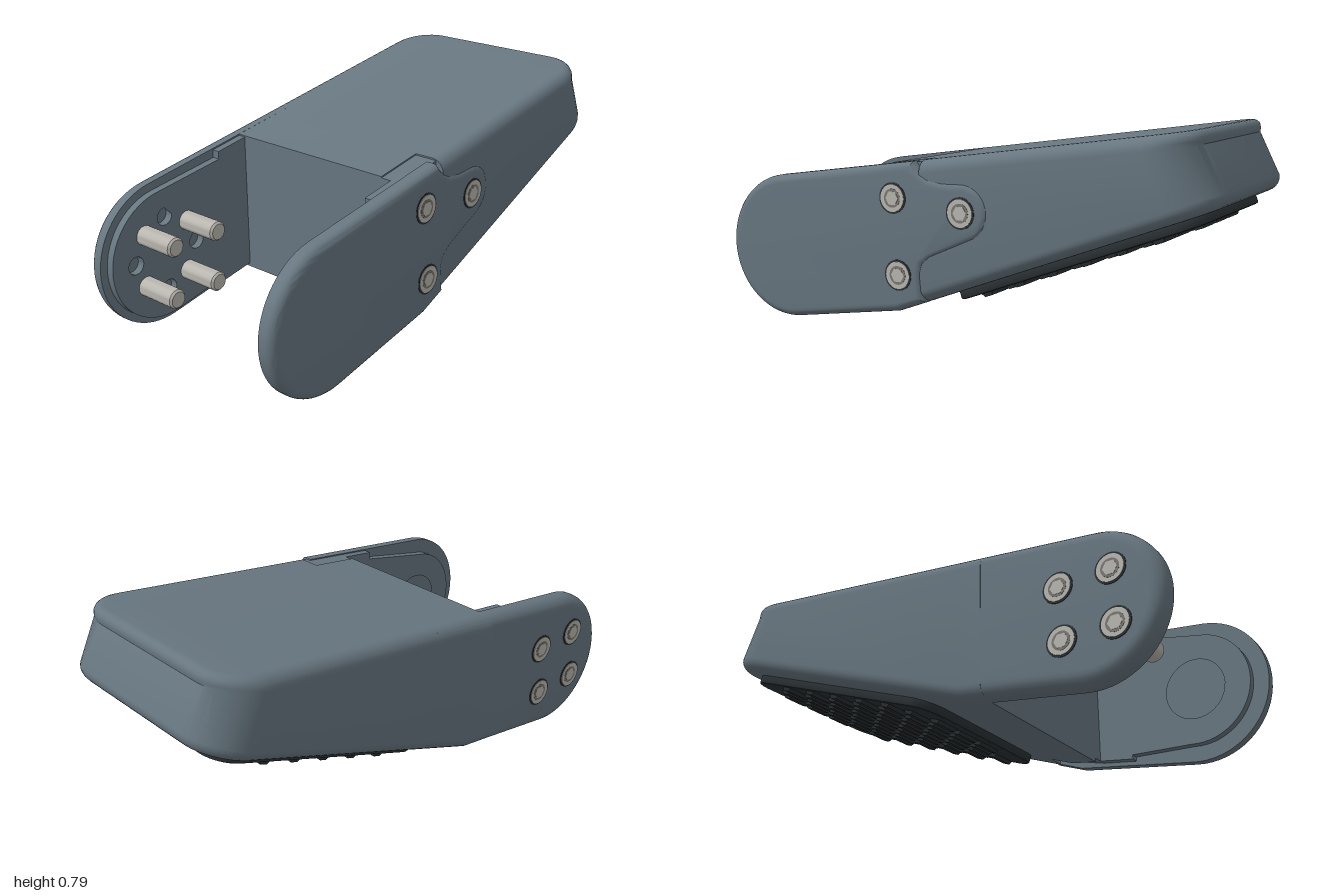
import * as THREE from 'three';
import { toCreasedNormals } from 'three/addons/utils/BufferGeometryUtils.js';

const mat = (name, color) => Object.assign(new THREE.MeshStandardMaterial({ color }), { name });
const topY = z => 0.62 + (0.3 - z) * 0.14;
const bottomY = z => (z < 0.2 ? 0.08 + (0.2 - z) * 0.383 : 0.08 - (z - 0.2) * 0.154);

// points on an arc in the side plane, as [z, y], angles in degrees
function arc(cz, cy, r, from, to, n) {
  return Array.from({ length: n + 1 }, (_, i) => {
    const a = THREE.MathUtils.degToRad(from + (to - from) * i / n);
    return [cz + r * Math.cos(a), cy + r * Math.sin(a)];
  });
}

// side outline [z, y] extruded outward from x = side * inner, rounded on the outer edge only
function sidePlate(points, side, inner, outer, bevel = 0, holes = []) {
  const flat = pts => pts.map(([z, y]) => new THREE.Vector2(-side * z, y));
  const shape = new THREE.Shape(flat(points));
  holes.forEach(h => shape.holes.push(new THREE.Path(flat(h))));
  const geo = new THREE.ExtrudeGeometry(shape, {
    depth: outer - inner - bevel, bevelEnabled: bevel > 0, bevelThickness: bevel,
    bevelSize: bevel, bevelOffset: -bevel, bevelSegments: 6
  });
  const p = geo.attributes.position;
  for (let i = 0; i < p.count; i++) p.setZ(i, Math.max(p.getZ(i), 0));
  geo.translate(0, 0, inner);
  geo.rotateY(side * Math.PI / 2);
  return toCreasedNormals(geo, 0.6);
}

// wedge body: rounded plan outline lofted between the sloping bottom and top
function bodyGeometry() {
  const rings = [], b = 0.05, steps = 6;
  const left = 0.45, right = 0.442, r = 0.17;
  const ring = (inset, dy, top) => {
    const back = top ? -0.935 + dy * 0.3 : -1.012 + dy * 0.3;
    const zc = back + r, l = left - inset, rt = right - inset, plan = [];
    plan.push([-l, 0.3], [-l, 0.2], [-l, 0.11], [-l, 0.1]);
    const n = 8;
    for (const s of [-1, 1]) for (let i = 0; i <= n; i++) {
      const a = (s < 0 ? i : n - i) / n * Math.PI / 2;
      const cx = s < 0 ? -left + r : right - r;
      plan.push([cx + s * (r - inset) * Math.cos(a), zc - (r - inset) * Math.sin(a)]);
    }
    plan.push([rt, 0.1], [0.32, 0.1], [0.32, 0.2], [0.32, 0.3]);
    rings.push(plan.map(([x, z]) => [x, top ? topY(z) - dy : bottomY(z) + dy, z]));
  };
  for (let k = 0; k <= steps; k++) {
    const a = k / steps * Math.PI / 2;
    ring(b * (1 - Math.sin(a)), b * (1 - Math.cos(a)), false);
  }
  for (let k = steps; k >= 0; k--) {
    const a = k / steps * Math.PI / 2;
    ring(b * (1 - Math.sin(a)), b * (1 - Math.cos(a)), true);
  }
  const n = rings[0].length, index = [], last = (rings.length - 1) * n;
  for (let j = 0; j < rings.length - 1; j++) for (let i = 0; i < n; i++) {
    const a = j * n + i, q = j * n + (i + 1) % n;
    index.push(a, q + n, q, a, a + n, q + n);
  }
  for (let i = 0; i < n / 2 - 1; i++) {
    const s = n - 1 - i, t = n - 2 - i;
    index.push(last + i, last + s, last + t, last + i, last + t, last + i + 1);
    index.push(i, t, s, i, i + 1, t);
  }
  const geo = new THREE.BufferGeometry();
  geo.setAttribute('position', new THREE.Float32BufferAttribute(rings.flat(2), 3));
  geo.setIndex(index);
  return toCreasedNormals(geo, 0.6);
}

export function createModel() {
  const model = new THREE.Group();
  const shell = mat('slate shell', 0x687781);
  const rubber = mat('dark rubber', 0x2c3235);
  const steel = mat('pale steel', 0xbab7b0);
  const socket = mat('socket grey', 0x7b7974);
  const add = (name, geo, material, parent = model) => {
    const m = new THREE.Mesh(geo, material);
    m.name = name;
    parent.add(m);
    return m;
  };

  add('body', bodyGeometry(), shell);

  // arms: one grows out of the body, the other is a bolted plate with a rear lobe
  const nose = arc(0.72, 0.28, 0.28, -98.7, 82, 32);
  add('fixedArm', sidePlate([...nose, [0, topY(0)], [0, bottomY(0)], [0.2, 0.08]], -1, 0.38, 0.449, 0.05), shell);
  add('boltedArm', sidePlate([
    ...nose, [0.13, 0.643], [0.105, 0.612], [0.06, 0.588], [0, 0.58],
    ...arc(-0.08, 0.47, 0.112, 90, 240, 16),
    [0.05, 0.29], [0.08, 0.265], [0.09, 0.23], [0.08, bottomY(0.08)], [0.2, 0.08]
  ], 1, 0.39, 0.45, 0.032), shell);

  // thick roots and raised pads on the inner faces of the arms
  const root = (z0, z1) => [[z0, bottomY(z0) + 0.015], [z1, bottomY(z1) + 0.015], [z1, topY(z1) - 0.005], [z0, topY(z0) - 0.005]];
  add('fixedArmRoot', sidePlate(root(0.25, 0.44), -1, 0.35, 0.4), shell);
  add('boltedArmRoot', sidePlate(root(0.3, 0.44), 1, 0.36, 0.41), shell);
  add('boltedArmBlock', sidePlate(root(0.102, 0.3), 1, 0.32, 0.41), shell);
  const pad = r => [[0.44, 0.075], ...arc(0.72, 0.28, r, -98.7, 82, 28), [0.44, 0.565]];
  const holes = [0, 90, 180, 270].map(a => {
    const [[z, y]] = arc(0.72, 0.28, 0.145, a, a, 1);
    return arc(z, y, 0.034, 0, 345, 23);
  });
  add('fixedArmPad', sidePlate(pad(0.25), -1, 0.35, 0.385, 0, holes), shell);
  add('boltedArmPad', sidePlate(pad(0.22), 1, 0.36, 0.395, 0, [arc(0.72, 0.28, 0.12, 0, 348, 29)]), shell);

  // screw heads with hexagonal sockets
  const disc = (name, r, x0, x1, sides, side, z, y, material) => {
    const m = add(name, new THREE.CylinderGeometry(r, r, x1 - x0, sides).rotateZ(Math.PI / 2), material);
    m.position.set(side * (x0 + x1) / 2, y, z);
  };
  const screw = (side, z, y) => {
    disc('screwRecess', 0.058, 0.44, 0.4515, 32, side, z, y, rubber);
    disc('screwHead', 0.051, 0.44, 0.4535, 32, side, z, y, steel);
    disc('screwRing', 0.035, 0.44, 0.4542, 32, side, z, y, socket);
    disc('screwSocket', 0.028, 0.44, 0.455, 6, side, z, y, steel);
  };
  for (const [z, y] of [[0.21, 0.505], [0.19, 0.22], [-0.08, 0.47]]) screw(1, z, y);

  // four long bolts through the fixed arm
  const pinProfile = [[0, 0], [0.037, 0], [0.037, 0.162], [0.03, 0.17], [0, 0.17]].map(p => new THREE.Vector2(...p));
  const pinGeo = toCreasedNormals(new THREE.LatheGeometry(pinProfile, 24).rotateZ(-Math.PI / 2), 0.6);
  for (const dz of [-1, 1]) for (const dy of [-1, 1]) {
    const z = 0.72 + dz * 0.1 - dy * 0.004, y = 0.28 + dy * 0.1 + dz * 0.004;
    screw(-1, z, y);
    add('bolt', pinGeo, steel).position.set(-0.35, y, z);
  }

  // rubber sole lying along the sloping underside
  const sole = new THREE.Group();
  sole.name = 'sole';
  sole.position.set(0, bottomY(-0.45), -0.45);
  sole.rotation.x = Math.atan(0.383);
  model.add(sole);
  const w = 0.37, l = 0.5, r = 0.1, s = new THREE.Shape();
  s.moveTo(-w + r, -l);
  s.lineTo(w - r, -l).absarc(w - r, -l + r, r, -Math.PI / 2, 0);
  s.lineTo(w, l - r).absarc(w - r, l - r, r, 0, Math.PI / 2);
  s.lineTo(-w + r, l).absarc(-w + r, l - r, r, Math.PI / 2, Math.PI);
  s.lineTo(-w, -l + r).absarc(-w + r, -l + r, r, Math.PI, Math.PI * 1.5);
  const slab = new THREE.ExtrudeGeometry(s, {
    depth: 0.025, bevelThickness: 0.008, bevelSize: 0.01, bevelOffset: -0.01, bevelSegments: 2, curveSegments: 10
  });
  add('solePad', toCreasedNormals(slab.rotateX(Math.PI / 2), 0.6), rubber, sole);

  // staggered tread bars, each tapered toward the ground
  const bar = new THREE.BoxGeometry(0.115, 0.018, 0.05);
  const bp = bar.attributes.position;
  for (let i = 0; i < bp.count; i++) if (bp.getY(i) < 0) bp.setXYZ(i, bp.getX(i) * 0.92, bp.getY(i), bp.getZ(i) * 0.6);
  bar.computeVertexNormals();
  for (let row = 0; row < 13; row++) for (let col = 0; col < 5; col++) {
    const x = (col - 2) * 0.135 + (row % 2 ? 0.03 : -0.03), z = (row - 6) * 0.07;
    if (Math.abs(x) > 0.24 && Math.abs(z) > 0.4) continue;
    add('treadBar', bar, rubber, sole).position.set(x, -0.038, z);
  }
  return model;
}
